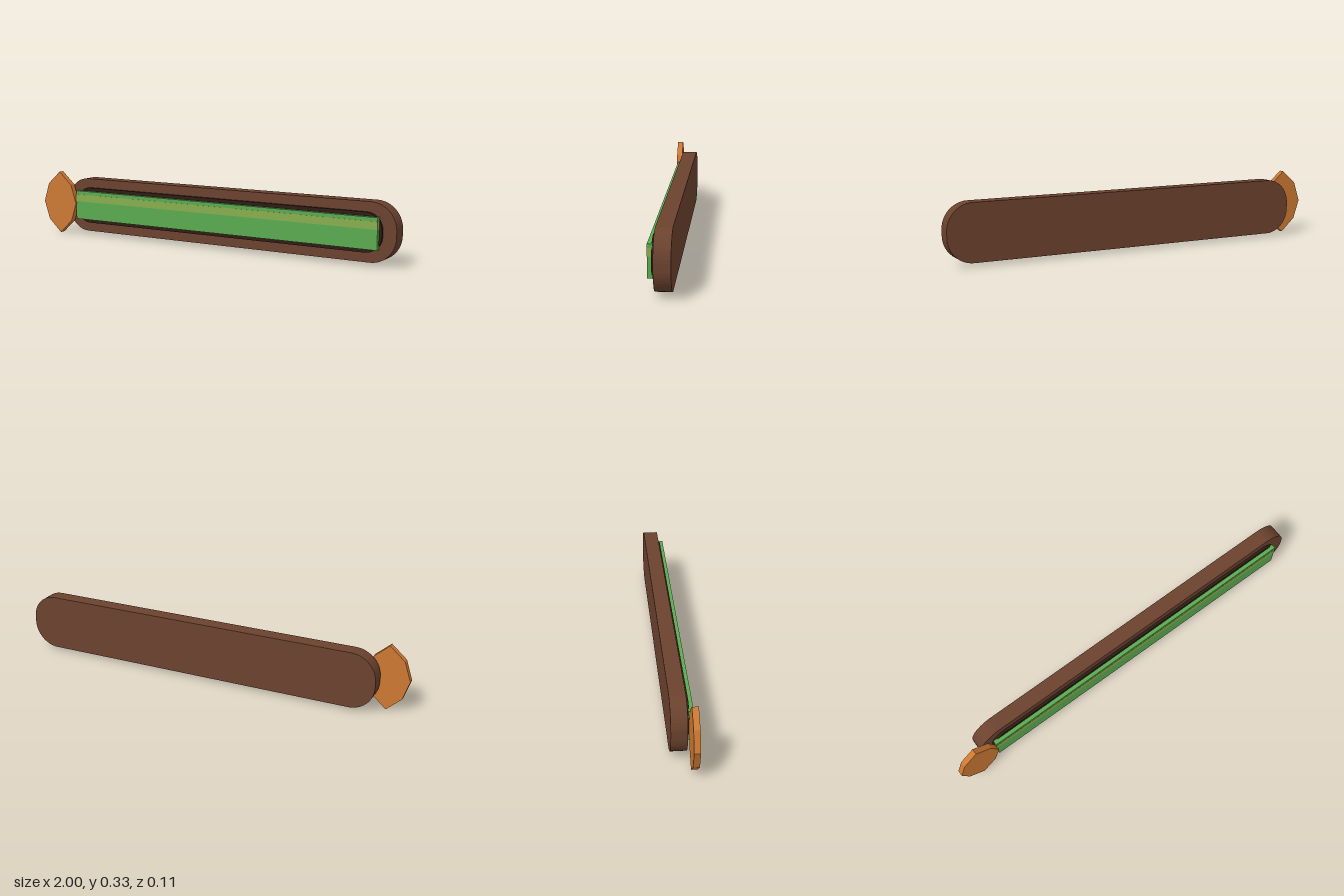
import * as THREE from 'three';

const mat = (name, color) => {
  const m = new THREE.MeshStandardMaterial({ color });
  m.name = name;
  return m;
};

// Rounded rectangle outline centred on the origin
function roundedRect(w, h, r) {
  const x = w / 2, y = h / 2, s = new THREE.Shape();
  s.moveTo(-x + r, -y);
  s.lineTo(x - r, -y).absarc(x - r, -y + r, r, -Math.PI / 2, 0);
  s.lineTo(x, y - r).absarc(x - r, y - r, r, 0, Math.PI / 2);
  s.lineTo(-x + r, y).absarc(-x + r, y - r, r, Math.PI / 2, Math.PI);
  s.lineTo(-x, -y + r).absarc(-x + r, -y + r, r, Math.PI, Math.PI * 1.5);
  return s;
}

export function createModel() {
  const group = new THREE.Group();
  group.name = 'gaugeBar';

  const brown = mat('brown', 0x6b422e);
  const dark = mat('darkBrown', 0x2e1c14);
  const green = mat('green', 0x5aab50);
  const lime = mat('oliveGreen', 0x87ae4e);
  const orange = mat('orange', 0xcc7833);

  const add = (name, geometry, material, x, y, z) => {
    const mesh = new THREE.Mesh(geometry, material);
    mesh.name = name;
    mesh.position.set(x, y, z);
    group.add(mesh);
  };
  // Flat plate: z is its back face
  const plate = (name, shape, depth, material, x, y, z) =>
    add(name, new THREE.ExtrudeGeometry(shape, { depth, bevelEnabled: false, curveSegments: 6 }), material, x, y, z);

  const cy = 0.156;

  // Outer frame and the dark bed on its front
  plate('frame', roundedRect(1.86, 0.279, 0.125), 0.074, brown, 0.07, cy, -0.057);
  plate('bed', roundedRect(1.73, 0.186, 0.08), 0.02, dark, 0.07, cy, 0.01);

  // Fill bar with a lighter strip
  add('fill', new THREE.BoxGeometry(1.71, 0.149, 0.024), green, 0.066, cy, 0.037);
  add('fillHighlight', new THREE.BoxGeometry(1.712, 0.037, 0.02), lime, 0.066, 0.194, 0.04);

  // Eight-sided end ornament
  const gem = new THREE.Shape([
    [0, 0.163], [-0.075, 0.097], [-0.107, 0], [-0.075, -0.095],
    [0, -0.163], [0.075, -0.095], [0.107, 0], [0.075, 0.097],
  ].map(([x, y]) => new THREE.Vector2(x, y)));
  plate('endGem', gem, 0.029, orange, -0.893, 0.163, 0.028);

  return group;
}
